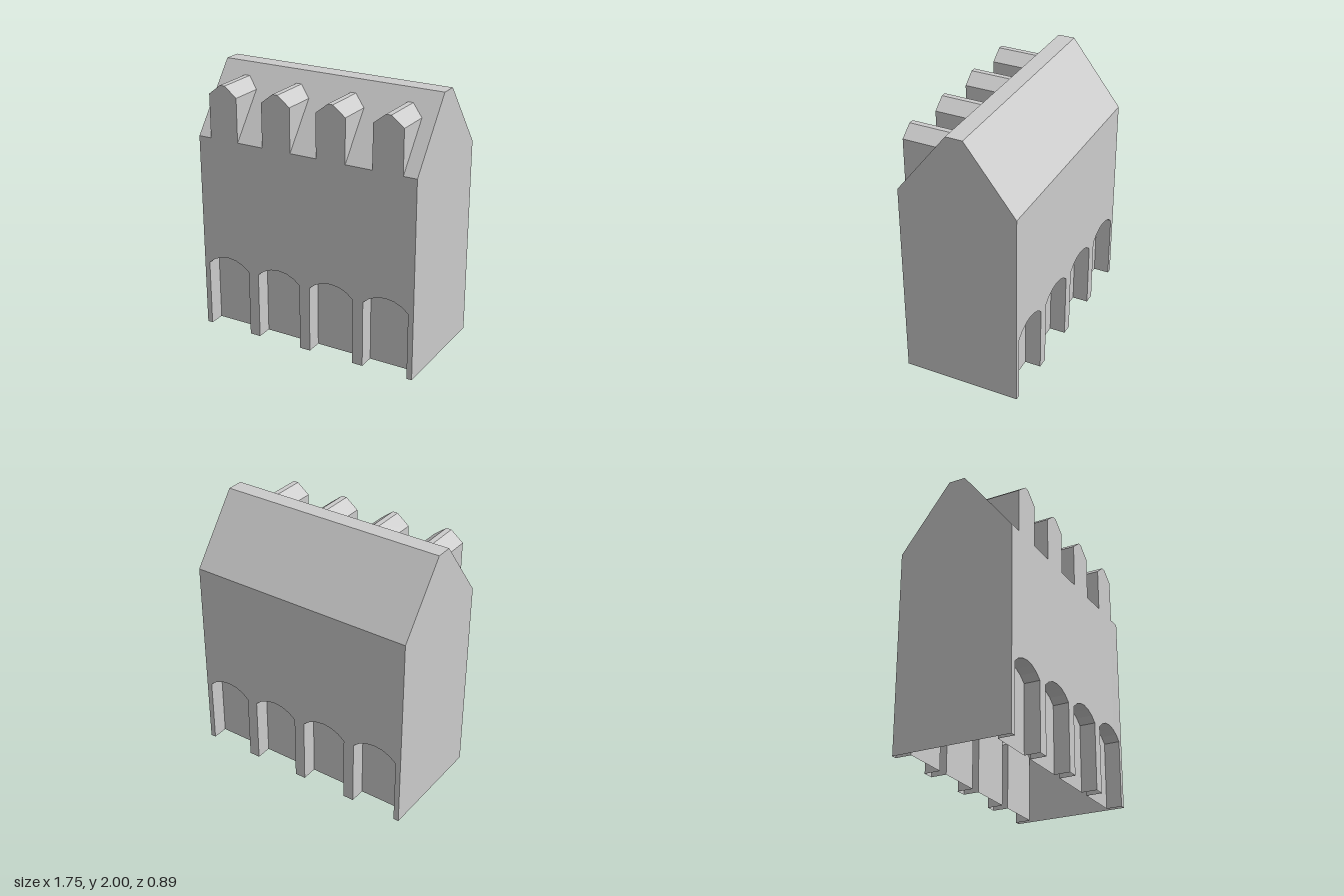
import * as THREE from 'three';

const W = 0.875, D = 0.443, EAVE = 1.51, TOP = 2, RIDGE = 0.063, NICHE = 0.12;
const CENTRES = [-0.657, -0.219, 0.219, 0.657];
const material = new THREE.MeshStandardMaterial({ color: 0xcccccc, flatShading: true, side: THREE.DoubleSide });

// depth of the roof slope at height y
const roofZ = (y) => D + (RIDGE - D) * (y - EAVE) / (TOP - EAVE);

// dormer outline, left to right
const dormerPoints = (c) => [
  [-0.115, EAVE], [-0.115, 1.84], [-0.02, 1.915], [0.02, 1.915], [0.115, 1.84], [0.115, EAVE],
].map(([x, y]) => new THREE.Vector2(c + x, y));

// segmental arch outline, left to right
function archPoints(c) {
  const half = 0.177, spring = 0.51, rise = 0.075, n = 6;
  const r = (half * half + rise * rise) / (2 * rise), a = Math.asin(half / r);
  const pts = [new THREE.Vector2(c - half, 0)];
  for (let i = 0; i <= n; i++) {
    const t = -a + (2 * a * i) / n;
    pts.push(new THREE.Vector2(c + r * Math.sin(t), spring + rise - r + r * Math.cos(t)));
  }
  pts.push(new THREE.Vector2(c + half, 0));
  return pts;
}

// closed flat outline from a lower and an upper edge, both left to right
const panel = (lower, upper) => new THREE.ShapeGeometry(new THREE.Shape([...lower, ...[...upper].reverse()]));
const edge = (y, inner = []) => [new THREE.Vector2(-W, y), ...inner, new THREE.Vector2(W, y)];

// strip of quads along an outline, from depth z0 back to depth z1(y)
function ribbon(pts, z0, z1) {
  const v = [];
  for (let i = 0; i < pts.length - 1; i++) {
    const a = pts[i], b = pts[i + 1];
    const a0 = [a.x, a.y, z0], b0 = [b.x, b.y, z0];
    const a1 = [a.x, a.y, z1(a.y)], b1 = [b.x, b.y, z1(b.y)];
    v.push(...a0, ...b0, ...b1, ...a0, ...b1, ...a1);
  }
  const g = new THREE.BufferGeometry();
  g.setAttribute('position', new THREE.Float32BufferAttribute(v, 3));
  g.computeVertexNormals();
  return g;
}

function add(parent, name, geometry) {
  const m = new THREE.Mesh(geometry, material);
  m.name = name;
  parent.add(m);
  return m;
}

// one long side: wall with arched niches, roof slope and optional dormers
function longSide(name, withDormers) {
  const side = new THREE.Group();
  side.name = name;
  const arches = CENTRES.flatMap(archPoints);
  const dormers = withDormers ? CENTRES.flatMap(dormerPoints) : [];

  add(side, 'wall', panel(edge(0, arches), edge(EAVE, dormers)).translate(0, 0, D));

  // roof slope, notched where the dormers meet it
  const slope = panel(edge(EAVE, dormers), edge(TOP));
  const p = slope.attributes.position;
  for (let i = 0; i < p.count; i++) p.setZ(i, roofZ(p.getY(i)));
  slope.computeVertexNormals();
  add(side, 'roofSlope', slope);

  for (const c of CENTRES) {
    const arch = archPoints(c);
    add(side, 'nicheReveal', ribbon([...arch].reverse(), D, () => D - NICHE));
    add(side, 'nicheBack', new THREE.ShapeGeometry(new THREE.Shape(arch)).translate(0, 0, D - NICHE));
    if (withDormers) add(side, 'dormer', ribbon(dormerPoints(c), D, roofZ));
  }
  return side;
}

export function createModel() {
  const model = new THREE.Group();
  model.name = 'building';

  model.add(longSide('frontSide', true));
  const back = longSide('backSide', false);
  back.rotation.y = Math.PI;
  model.add(back);

  // gable end walls
  const gable = new THREE.Shape([[-D, 0], [D, 0], [D, EAVE], [RIDGE, TOP], [-RIDGE, TOP], [-D, EAVE]]
    .map(([x, y]) => new THREE.Vector2(x, y)));
  for (const s of [1, -1]) {
    const end = add(model, s > 0 ? 'leftGable' : 'rightGable', new THREE.ShapeGeometry(gable));
    end.rotation.y = s * Math.PI / 2;
    end.position.x = s * W;
  }

  // flat ridge
  const ridge = add(model, 'ridge', new THREE.PlaneGeometry(2 * W, 2 * RIDGE));
  ridge.rotation.x = -Math.PI / 2;
  ridge.position.y = TOP;
  return model;
}
